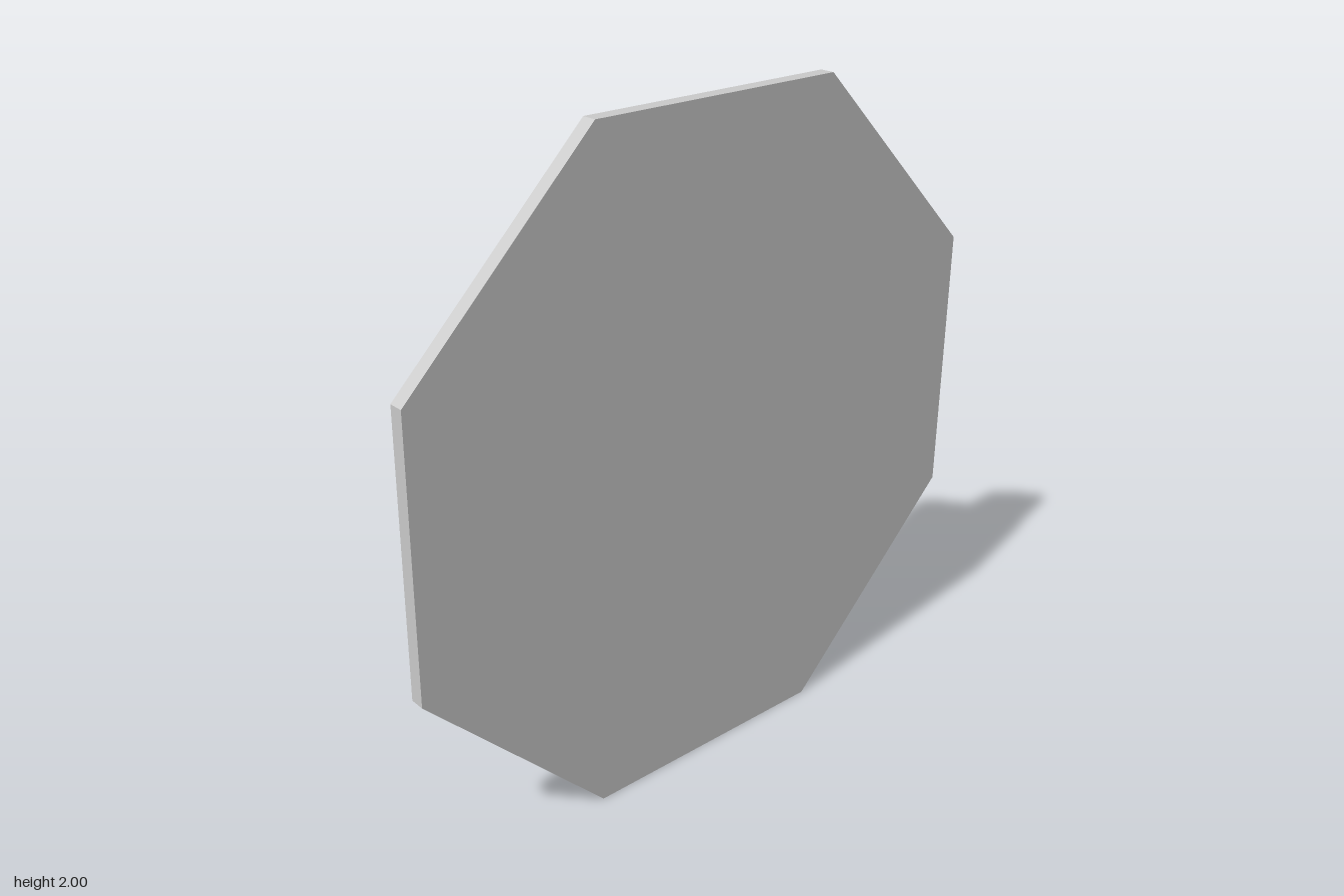
import * as THREE from 'three';

const material = new THREE.MeshStandardMaterial({ color: 0xcccccc, flatShading: true });

function add(group, name, geometry) {
  const mesh = new THREE.Mesh(geometry, material);
  mesh.name = name;
  group.add(mesh);
  return mesh;
}

// Solid between a front contour at zFront and a back contour at zBack.
// Contours are convex [x, y] loops, counter-clockwise as seen from +z.
function loft(front, back, zFront, zBack) {
  const n = front.length, pos = [];
  const f = i => [...front[i % n], zFront];
  const b = i => [...back[i % n], zBack];
  for (let i = 0; i < n; i++) {
    pos.push(...f(i), ...b(i), ...b(i + 1), ...f(i), ...b(i + 1), ...f(i + 1));
    if (i > 0 && i < n - 1) {
      pos.push(...f(0), ...f(i), ...f(i + 1), ...b(0), ...b(i + 1), ...b(i));
    }
  }
  const g = new THREE.BufferGeometry();
  g.setAttribute('position', new THREE.Float32BufferAttribute(pos, 3));
  g.computeVertexNormals();
  return g;
}

const rect = (x0, x1, halfY) => [[x0, 1 - halfY], [x1, 1 - halfY], [x1, 1 + halfY], [x0, 1 + halfY]];

// Eight-cornered loop: half extents w, h with 45 degree corners cut by c
const octagon = (w, h, c) => [
  [w - c, -h], [w, c - h], [w, h - c], [w - c, h],
  [c - w, h], [-w, h - c], [-w, c - h], [c - w, -h],
].map(([x, y]) => [x, y + 1]);

export function createModel() {
  const group = new THREE.Group();

  // Flat panel
  const panel = octagon(1, 1, 0.586);
  add(group, 'panel', loft(panel, panel, 0.315, 0.27));

  // Faceted boss behind the panel
  add(group, 'centreBoss', loft(octagon(0.41, 0.6, 0.275), octagon(0.25, 0.42, 0.19), 0.27, 0.092));

  // Crossbar with a notched back
  const half = [[0.49, 0.27], [0.49, -0.18], [0.37, -0.19], [0.18, 0]];
  const outline = [...half, ...half.map(([x, z]) => [-x, z]).reverse()];
  const shape = new THREE.Shape(outline.map(([x, z]) => new THREE.Vector2(x, -z)));
  const bar = new THREE.ExtrudeGeometry(shape, { depth: 0.25, bevelEnabled: false });
  bar.rotateX(-Math.PI / 2).translate(0, 0.875, 0);
  add(group, 'crossbar', bar);

  // Ridged grip in the notch
  add(group, 'gripRidge', loft(rect(-0.18, 0.18, 0.125), rect(-0.275, 0.275, 0.004), 0, -0.092));

  for (const [side, s] of [['left', 1], ['right', -1]]) {
    // Tapered upright rail
    const front = s > 0 ? rect(0.165, 0.385, 0.86) : rect(-0.385, -0.165, 0.86);
    const back = s > 0 ? rect(0.23, 0.31, 0.8) : rect(-0.31, -0.23, 0.8);
    add(group, side + 'Rail', loft(front, back, 0.27, 0.09));

    // Roller at the end of the crossbar
    const roller = new THREE.CylinderGeometry(0.15, 0.15, 0.18, 12);
    roller.rotateZ(Math.PI / 2);
    add(group, side + 'Roller', roller).position.set(s * 0.455, 1, -0.165);
  }
  return group;
}
